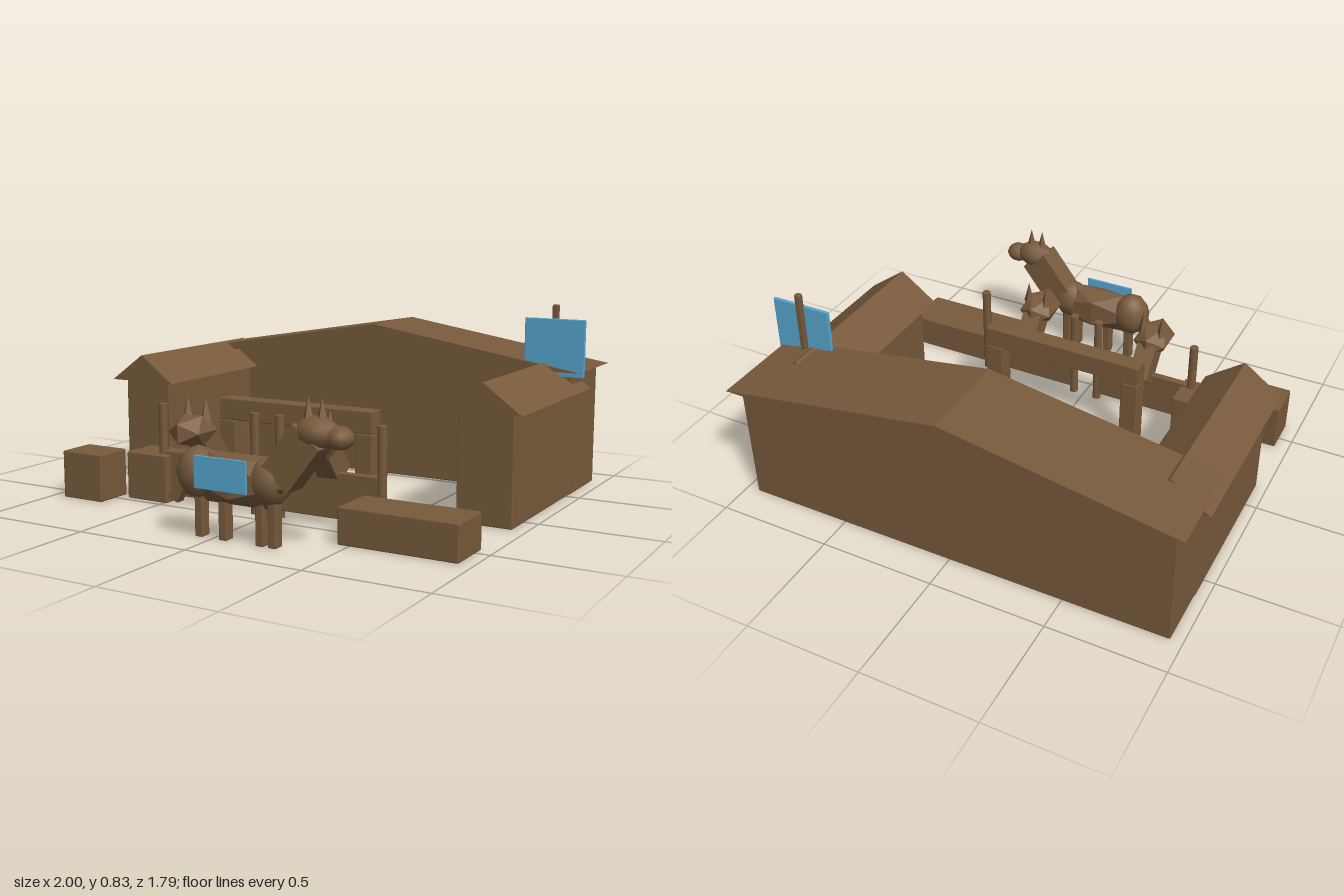
import * as THREE from 'three';
import { RoundedBoxGeometry } from 'three/addons/geometries/RoundedBoxGeometry.js';

const wood = new THREE.MeshStandardMaterial({ color: 0x785a3c });
wood.name = 'brown wood';
const blue = new THREE.MeshStandardMaterial({ color: 0x58a8d2 });
blue.name = 'sky blue';

function add(parent, name, geometry, x, y, z, material = wood) {
  const mesh = new THREE.Mesh(geometry, material);
  mesh.name = name;
  mesh.position.set(x, y, z);
  parent.add(mesh);
  return mesh;
}

// Slightly bevelled block given by its extents
function block(parent, name, [x0, x1], [y0, y1], [z0, z1], material = wood) {
  const w = x1 - x0, h = y1 - y0, d = z1 - z0;
  const radius = Math.min(0.006, Math.min(w, h, d) * 0.25);
  return add(parent, name, new RoundedBoxGeometry(w, h, d, 1, radius),
    (x0 + x1) / 2, (y0 + y1) / 2, (z0 + z1) / 2, material);
}

// Gabled roof with its ridge along z
function gable(parent, name, [x0, x1], [y0, y1], [z0, z1]) {
  const shape = new THREE.Shape();
  shape.moveTo(x0, y0);
  shape.lineTo(x1, y0);
  shape.lineTo((x0 + x1) / 2, y1);
  shape.closePath();
  const geometry = new THREE.ExtrudeGeometry(shape, { depth: z1 - z0, bevelEnabled: false });
  return add(parent, name, geometry, 0, 0, z0);
}

// Faceted lump with the given half sizes
function lump(parent, name, x, y, z, hx, hy, hz, detail = 0) {
  const geometry = new THREE.IcosahedronGeometry(1, detail);
  geometry.computeBoundingBox();
  const m = geometry.boundingBox.max;
  geometry.scale(hx / m.x, hy / m.y, hz / m.z);
  return add(parent, name, geometry, x, y, z);
}

function ear(parent, x, y, z) {
  const geometry = new THREE.ConeGeometry(0.026, 0.1, 4).toNonIndexed();
  geometry.computeVertexNormals();
  add(parent, 'ear', geometry, x, y, z);
}

function stable() {
  const g = new THREE.Group();
  g.name = 'stable';
  block(g, 'mainHall', [-0.95, 0.945], [0, 0.545], [-0.85, -0.52]);
  gable(g, 'mainRoof', [-0.99, 0.985], [0.543, 0.705], [-0.895, -0.485]);
  for (const [side, x] of [['right', -0.833], ['left', 0.822]]) {
    block(g, side + 'Wing', [x - 0.12, x + 0.12], [0, 0.465], [-0.6, 0.14]);
    gable(g, side + 'WingRoof', [x - 0.165, x + 0.165], [0.46, 0.58], [-0.645, 0.182]);
  }
  block(g, 'signPole', [0.848, 0.875], [0.5, 0.83], [-0.536, -0.51]);
  block(g, 'signBoard', [0.73, 1.0], [0.52, 0.77], [-0.516, -0.501], blue);
  return g;
}

function gate() {
  const g = new THREE.Group();
  g.name = 'gate';
  block(g, 'gateBeam', [-0.38, 0.365], [0.335, 0.43], [0.14, 0.22]);
  block(g, 'gatePost', [-0.38, -0.3], [0, 0.335], [0.14, 0.22]);
  block(g, 'gatePost', [0.285, 0.365], [0, 0.335], [0.14, 0.22]);
  return g;
}

// Fence panel with a horse looking over it
function stall(x) {
  const g = new THREE.Group();
  g.name = 'stall';
  g.position.x = x;
  block(g, 'fencePanel', [-0.235, 0.235], [0.03, 0.22], [0.407, 0.437]);
  for (const s of [-1, 1]) {
    add(g, 'fencePost', new THREE.CylinderGeometry(0.02, 0.02, 0.42, 8), s * 0.232, 0.21, 0.422);
    ear(g, s * 0.045, 0.43, 0.5);
  }
  const neck = add(g, 'horseNeck', new THREE.BoxGeometry(0.09, 0.16, 0.1), 0, 0.261, 0.429);
  neck.rotation.x = 0.67;
  lump(g, 'horseHead', 0, 0.343, 0.53, 0.076, 0.064, 0.106);
  return g;
}

function horse() {
  const g = new THREE.Group();
  g.name = 'standingHorse';
  g.position.z = 0.805;
  // Body
  lump(g, 'barrel', 0.11, 0.24, 0, 0.23, 0.1, 0.077);
  lump(g, 'rump', -0.07, 0.25, 0, 0.09, 0.105, 0.083, 1);
  lump(g, 'chest', 0.25, 0.25, 0, 0.09, 0.095, 0.076, 1);
  // Neck and head
  const neck = add(g, 'neck', new THREE.BoxGeometry(0.14, 0.22, 0.11), 0.367, 0.354, 0);
  neck.rotation.z = -0.66;
  lump(g, 'skull', 0.45, 0.452, 0, 0.09, 0.062, 0.068, 1);
  lump(g, 'muzzle', 0.545, 0.44, 0, 0.055, 0.045, 0.052, 1);
  for (const x of [0.415, 0.472]) ear(g, x, 0.532, 0);
  // Legs and tail
  for (const x of [-0.06, 0.05, 0.215, 0.27]) {
    block(g, 'leg', [x - 0.018, x + 0.018], [0, 0.22], [-0.025, 0.025]);
  }
  const tail = add(g, 'tail', new THREE.BoxGeometry(0.045, 0.13, 0.04), -0.152, 0.188, 0);
  tail.rotation.z = -0.5;
  block(g, 'blanket', [-0.032, 0.202], [0.208, 0.335], [0.08, 0.089], blue);
  return g;
}

export function createModel() {
  const model = new THREE.Group();
  model.name = 'stableYard';
  model.add(stable(), gate(), stall(-0.298), stall(0.285), horse());
  // Crates and trough
  block(model, 'crate', [-0.94, -0.733], [0, 0.205], [0.43, 0.6]);
  block(model, 'crate', [-0.69, -0.483], [0, 0.205], [0.307, 0.475]);
  block(model, 'trough', [0.452, 0.945], [0, 0.147], [0.45, 0.66]);
  return model;
}
